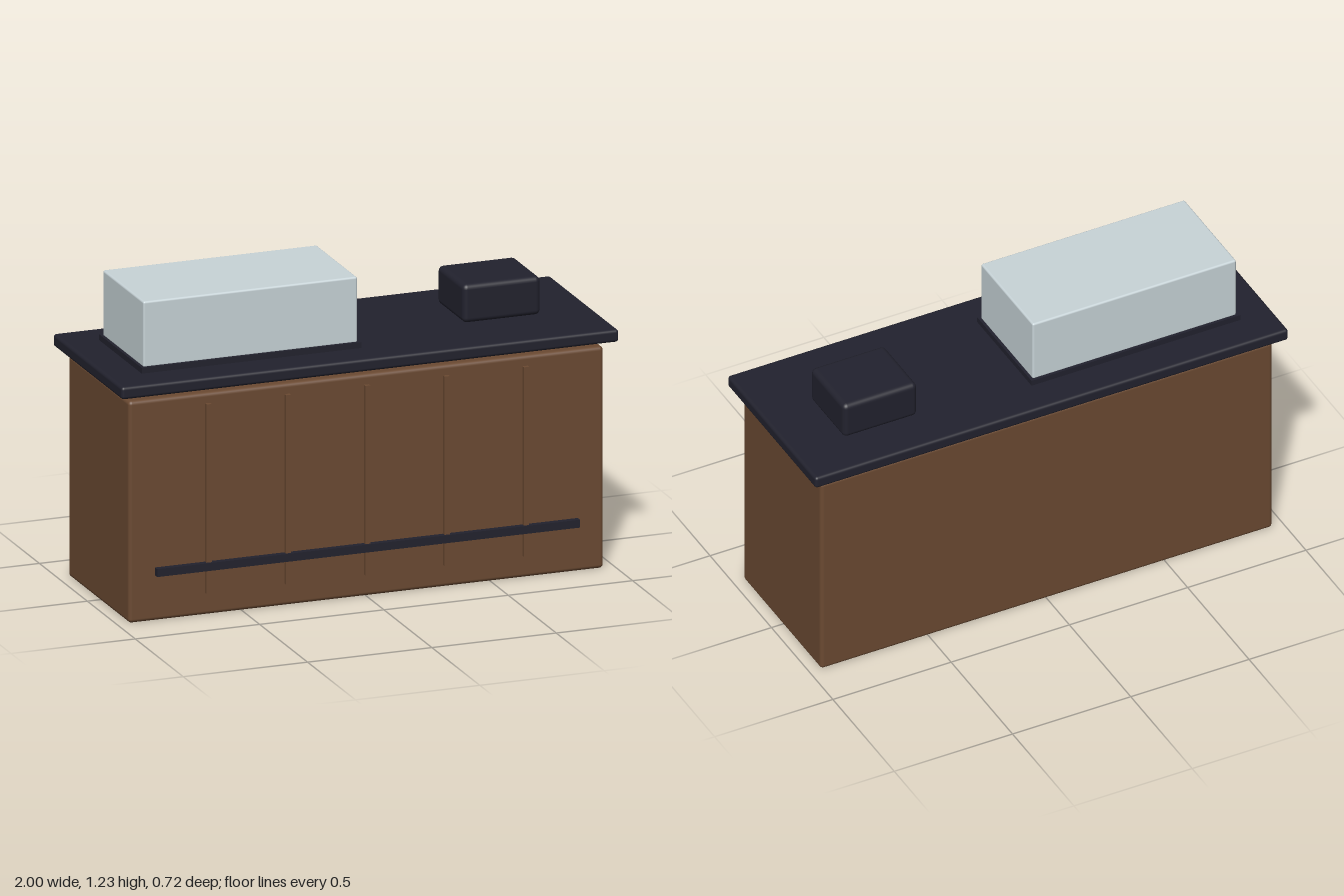
import * as THREE from 'three';
import { RoundedBoxGeometry } from 'three/addons/geometries/RoundedBoxGeometry.js';

const material = (name, color) => {
  const m = new THREE.MeshStandardMaterial({ color });
  m.name = name;
  return m;
};

export function createModel() {
  const wood = material('brown wood', 0x6b4a32);
  const dark = material('dark slate', 0x22222e);
  const glass = material('pale glass', 0xc8d4d8);
  const model = new THREE.Group();
  model.name = 'serviceCounter';

  // Box given by its min and max corners; radius 0 keeps sharp edges
  const box = (name, mat, [x0, y0, z0], [x1, y1, z1], radius = 0) => {
    const size = [x1 - x0, y1 - y0, z1 - z0];
    const geometry = radius
      ? new RoundedBoxGeometry(...size, 3, radius)
      : new THREE.BoxGeometry(...size);
    const mesh = new THREE.Mesh(geometry, mat);
    mesh.position.set((x0 + x1) / 2, (y0 + y1) / 2, (z0 + z1) / 2);
    mesh.name = name;
    model.add(mesh);
  };

  // Cabinet and the worktop floating just above it
  box('cabinet', wood, [-0.955, 0, -0.317], [0.955, 0.873, 0.317], 0.015);
  box('worktop', dark, [-1, 0.898, -0.36], [1, 0.947, 0.36], 0.012);

  // Front battens and foot rail
  for (let i = -2; i <= 2; i++) {
    const x = i * 0.319;
    box('batten', wood, [x - 0.0105, 0.087, 0.31], [x + 0.0105, 0.833, 0.333]);
  }
  box('footRail', dark, [-0.85, 0.179, 0.312], [0.85, 0.21, 0.341]);

  // Display case on its plinth
  box('displayBase', dark, [-0.867, 0.945, -0.223], [0.016, 0.97, 0.223]);
  box('displayCase', glass, [-0.856, 0.965, -0.212], [0.005, 1.225, 0.212], 0.008);

  // Till
  box('till', dark, [0.48, 0.947, -0.19], [0.792, 1.098, 0.085], 0.02);

  return model;
}
